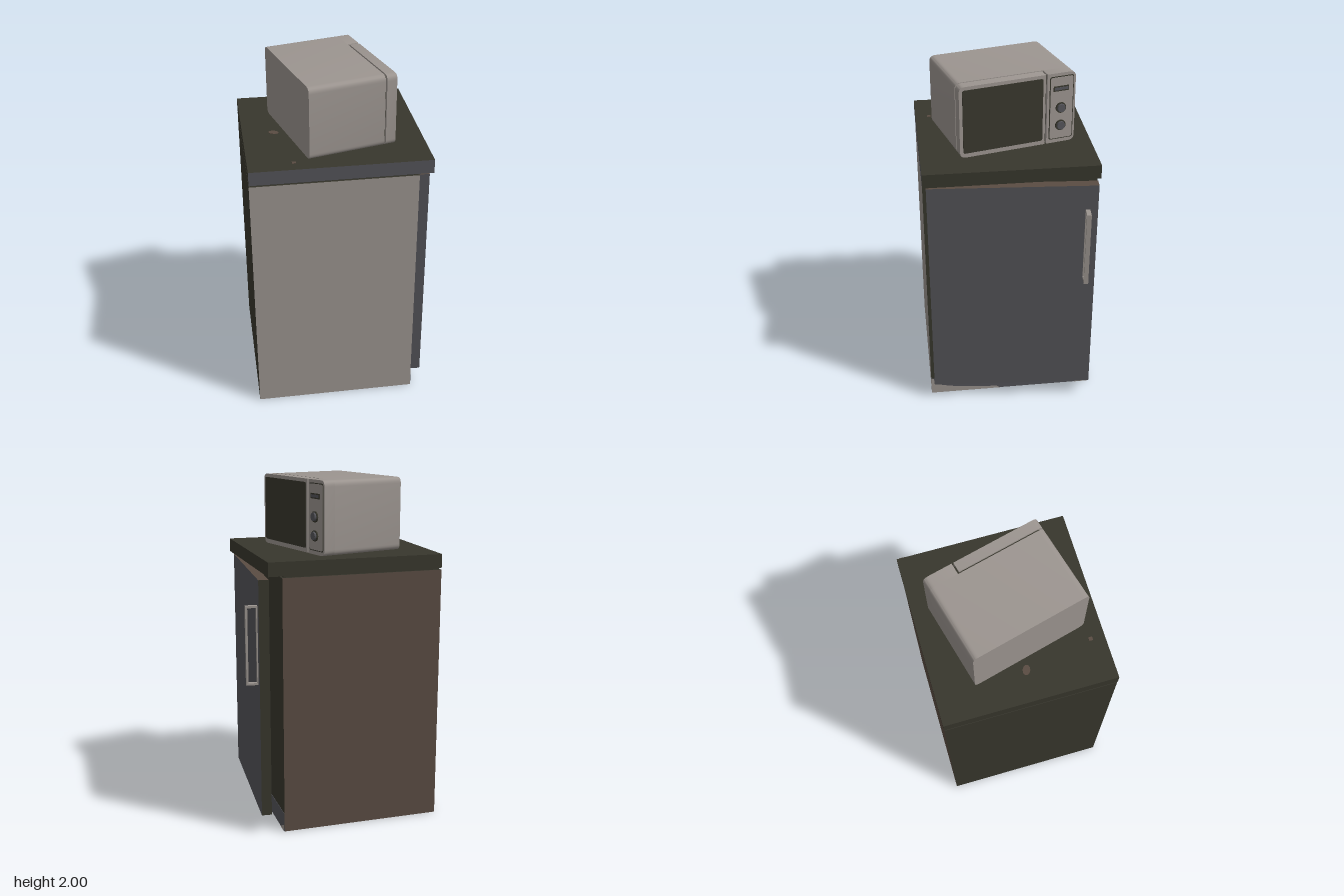
import * as THREE from 'three';
import { toCreasedNormals } from 'three/addons/utils/BufferGeometryUtils.js';

const mat = (name, color) => Object.assign(new THREE.MeshStandardMaterial({ color }), { name });

export function createModel() {
  const beige = mat('beige', 0x9c9590);
  const grey = mat('slateGrey', 0x545459);
  const olive = mat('darkOlive', 0x38372d);
  const brown = mat('brown', 0x5a4c42);
  const model = new THREE.Group();
  model.name = 'cabinetWithMicrowave';

  const add = (parent, name, geometry, material, x = 0, y = 0, z = 0) => {
    const mesh = new THREE.Mesh(geometry, material);
    mesh.name = name;
    mesh.position.set(x, y, z);
    parent.add(mesh);
    return mesh;
  };
  // box given by its limits on each axis
  const box = (parent, name, material, [x0, x1], [y0, y1], [z0, z1]) =>
    add(parent, name, new THREE.BoxGeometry(x1 - x0, y1 - y0, z1 - z0), material,
      (x0 + x1) / 2, (y0 + y1) / 2, (z0 + z1) / 2);

  // cabinet: face materials in the order +x, -x, +y, -y, +z, -z
  box(model, 'cabinetBody', [olive, olive, olive, grey, beige, brown], [-0.57, 0.37], [0, 1.49], [-0.495, 0.49]);
  box(model, 'cabinetNeck', olive, [-0.56, 0.36], [1.49, 1.5], [-0.485, 0.48]);
  box(model, 'countertop', [olive, olive, olive, olive, grey, olive], [-0.57, 0.45], [1.5, 1.58], [-0.497, 0.492]);

  // plinth strip below the door, with worn corners
  box(model, 'plinthStrip', grey, [0.37, 0.372], [0, 0.11], [-0.495, 0.49]);
  const wear = (name, points) => {
    const g = new THREE.ShapeGeometry(new THREE.Shape(points.map(([z, y]) => new THREE.Vector2(-z, y))));
    add(model, name, g.rotateY(Math.PI / 2), beige, 0.374);
  };
  wear('plinthWearFront', [[0.49, 0], [0.06, 0], [0.08, 0.015], [0.2, 0.025], [0.32, 0.035], [0.42, 0.055], [0.47, 0.08], [0.475, 0.11], [0.49, 0.11]]);
  wear('plinthWearBack', [[-0.41, 0], [-0.495, 0], [-0.495, 0.04], [-0.46, 0.025]]);

  // stains on the countertop
  const stain = add(model, 'roundStain', new THREE.CylinderGeometry(0.03, 0.03, 0.003, 12), brown, -0.39, 1.581, 0.02);
  stain.scale.z = 0.7;
  stain.rotation.y = -0.4;
  box(model, 'squareStain', brown, [-0.326, -0.304], [1.58, 1.583], [0.4, 0.422]);

  // door standing ajar, hinged at the front corner
  const door = new THREE.Group();
  door.name = 'door';
  door.position.set(0.43, 0, 0.472);
  door.rotation.y = -Math.atan(0.07 / 0.95);
  model.add(door);
  box(door, 'doorPanel', [grey, olive, brown, olive, grey, olive], [-0.058, 0], [0.11, 1.483], [-0.952, 0]);
  // rectangular loop handle
  const handle = new THREE.Shape();
  handle.moveTo(0, 0.88).lineTo(0.068, 0.88).lineTo(0.068, 1.333).lineTo(0, 1.333).closePath();
  const gap = new THREE.Path();
  gap.moveTo(0.007, 0.892).lineTo(0.007, 1.321).lineTo(0.056, 1.321).lineTo(0.056, 0.892).closePath();
  handle.holes.push(gap);
  add(door, 'doorHandle', new THREE.ExtrudeGeometry(handle, { depth: 0.026, bevelEnabled: false }), beige, 0, 0, -0.908);

  // microwave, turned on the countertop; its front is local +x
  const oven = new THREE.Group();
  oven.name = 'microwave';
  oven.position.set(-0.0625, 1.58, -0.002);
  oven.rotation.y = 0.253;
  model.add(oven);
  const W = 0.346, H = 0.42, F = 0.2585;

  // slab with rounded corners on its z0 side (r0) and z1 side (r1), extruded along x
  const slab = (name, material, [x0, x1], [y0, y1], [z0, z1], r0, r1) => {
    const s = new THREE.Shape(), a = -z1, b = -z0;
    s.moveTo(a + r1, y0).lineTo(b - r0, y0);
    s.quadraticCurveTo(b, y0, b, y0 + r0).lineTo(b, y1 - r0);
    s.quadraticCurveTo(b, y1, b - r0, y1).lineTo(a + r1, y1);
    s.quadraticCurveTo(a, y1, a, y1 - r1).lineTo(a, y0 + r1);
    s.quadraticCurveTo(a, y0, a + r1, y0);
    const g = new THREE.ExtrudeGeometry(s, { depth: x1 - x0, bevelEnabled: false, curveSegments: 6 });
    return add(oven, name, toCreasedNormals(g.rotateY(Math.PI / 2), 0.6), material, x0);
  };
  slab('microwaveBody', beige, [-F, 0.19], [0, H], [-W, W], 0.035, 0.035);
  slab('controlColumn', beige, [0.19, F], [0, H], [-W, -0.174], 0.035, 0.001);
  slab('microwaveDoor', beige, [0.199, F], [0, H], [-0.164, W], 0.001, 0.035);
  slab('doorGapCore', olive, [0.18, 0.24], [0.01, H - 0.01], [-0.2, 0.33], 0.001, 0.025);
  slab('microwaveWindow', olive, [F, F + 0.003], [0.026, 0.4], [-0.148, 0.327], 0.012, 0.012);
  // control panel: dark outline, raised plate, display and two knobs
  slab('panelOutline', olive, [F, F + 0.002], [0.022, 0.402], [-0.334, -0.188], 0.014, 0.014);
  slab('panelPlate', beige, [F, F + 0.004], [0.027, 0.397], [-0.329, -0.193], 0.012, 0.012);
  box(oven, 'display', olive, [F, F + 0.007], [0.315, 0.345], [-0.303, -0.21]);
  box(oven, 'displayBar', grey, [F, F + 0.009], [0.322, 0.338], [-0.297, -0.216]);
  for (const y of [0.108, 0.215]) {
    const rim = add(oven, 'knobRim', new THREE.CylinderGeometry(0.031, 0.031, 0.012, 24), olive, F + 0.006, y, -0.256);
    const knob = add(oven, 'knob', new THREE.CylinderGeometry(0.023, 0.026, 0.02, 24), grey, F + 0.012, y, -0.256);
    rim.rotation.z = knob.rotation.z = -Math.PI / 2;
  }
  return model;
}
